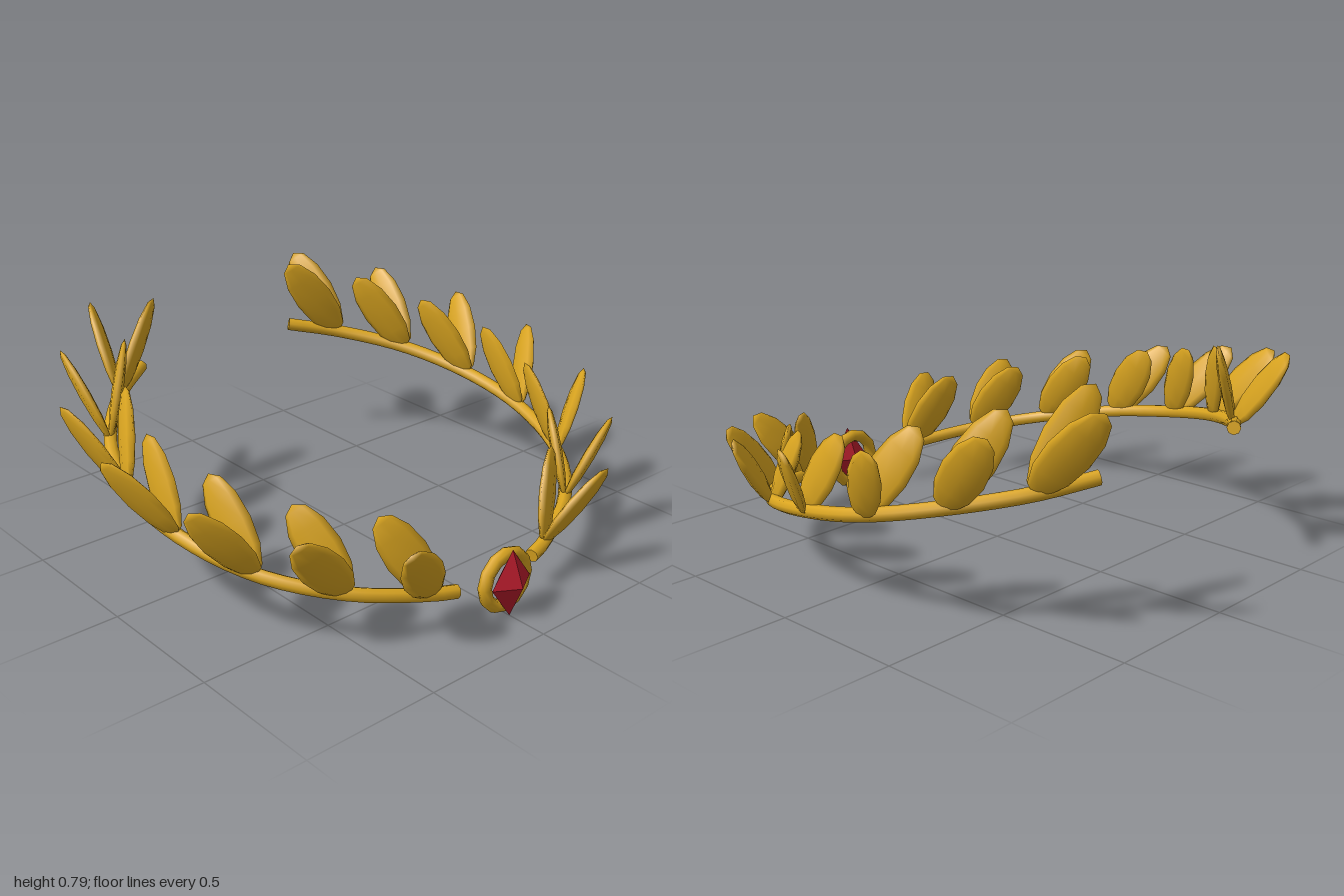
import * as THREE from 'three';

// Stem points from front to back, for the +x side
const STEM = [
  [0.18, 0.13, 0.775], [0.26, 0.142, 0.755], [0.52, 0.185, 0.625], [0.72, 0.235, 0.41],
  [0.822, 0.295, 0.12], [0.822, 0.35, -0.17], [0.72, 0.412, -0.44], [0.54, 0.465, -0.66], [0.365, 0.505, -0.78],
];
// Leaf tips, one outward and one inward for each node of the stem
const OUTER_TIPS = [
  [0.465, 0.4, 0.85], [0.74, 0.445, 0.64], [0.925, 0.5, 0.345], [1.0, 0.562, -0.025],
  [0.942, 0.625, -0.375], [0.76, 0.695, -0.68], [0.495, 0.76, -0.905],
];
const INNER_TIPS = [
  [0.41, 0.43, 0.64], [0.605, 0.465, 0.45], [0.745, 0.525, 0.2], [0.795, 0.585, -0.075],
  [0.705, 0.65, -0.34], [0.555, 0.72, -0.57], [0.325, 0.785, -0.725],
];
const LEAF_WIDTH = 0.076, LEAF_THICKNESS = 0.021, STEM_RADIUS = 0.025;

export function createModel() {
  const model = new THREE.Group();
  model.name = 'laurelCrown';
  const gold = new THREE.MeshStandardMaterial({ name: 'gold', color: 0xdaa520 });
  const red = new THREE.MeshStandardMaterial({ name: 'gemRed', color: 0xb81c2c, flatShading: true });
  const leafGeometry = new THREE.SphereGeometry(1, 8, 6);
  const capGeometry = new THREE.CircleGeometry(STEM_RADIUS, 8);

  const add = (parent, name, geometry, material) => {
    const mesh = new THREE.Mesh(geometry, material);
    mesh.name = name;
    parent.add(mesh);
    return mesh;
  };

  // Flattened leaf running from base to tip, its flat face turned outward
  const addLeaf = (parent, name, base, tip, outward) => {
    const along = tip.clone().sub(base);
    const length = along.length();
    along.normalize();
    const across = along.clone().cross(outward).normalize();
    const normal = across.clone().cross(along);
    const leaf = add(parent, name, leafGeometry, gold);
    leaf.quaternion.setFromRotationMatrix(new THREE.Matrix4().makeBasis(across, along, normal));
    leaf.scale.set(LEAF_WIDTH, length / 2, LEAF_THICKNESS);
    leaf.position.copy(base).lerp(tip, 0.5);
  };

  for (const side of [1, -1]) {
    const branch = new THREE.Group();
    branch.name = side > 0 ? 'leftBranch' : 'rightBranch';
    model.add(branch);
    const point = ([x, y, z]) => new THREE.Vector3(side * x, y, z);

    // Stem with closed ends
    const curve = new THREE.CatmullRomCurve3(STEM.map(point));
    add(branch, 'stem', new THREE.TubeGeometry(curve, 32, STEM_RADIUS, 8), gold);
    for (const t of [0, 1]) {
      const cap = add(branch, 'stemEnd', capGeometry, gold);
      const end = curve.getPoint(t);
      cap.position.copy(end);
      cap.lookAt(end.add(curve.getTangent(t).multiplyScalar(t ? 1 : -1)));
    }

    // Pairs of leaves
    for (let i = 0; i < OUTER_TIPS.length; i++) {
      const t = (i + 1) / (STEM.length - 1);
      const base = curve.getPoint(t);
      const tangent = curve.getTangent(t);
      const outward = new THREE.Vector3(-tangent.z * side, 0, tangent.x * side).normalize();
      addLeaf(branch, 'outerLeaf', base, point(OUTER_TIPS[i]), outward);
      addLeaf(branch, 'innerLeaf', base, point(INNER_TIPS[i]), outward);
    }
  }

  // Front jewel in its round setting
  const setting = add(model, 'gemSetting', new THREE.TorusGeometry(0.097, 0.024, 8, 12), gold);
  setting.position.set(0, 0.126, 0.82);
  const gem = add(model, 'gem', new THREE.OctahedronGeometry(1), red);
  gem.scale.set(0.09, 0.125, 0.053);
  gem.position.set(0, 0.125, 0.848);

  return model;
}
